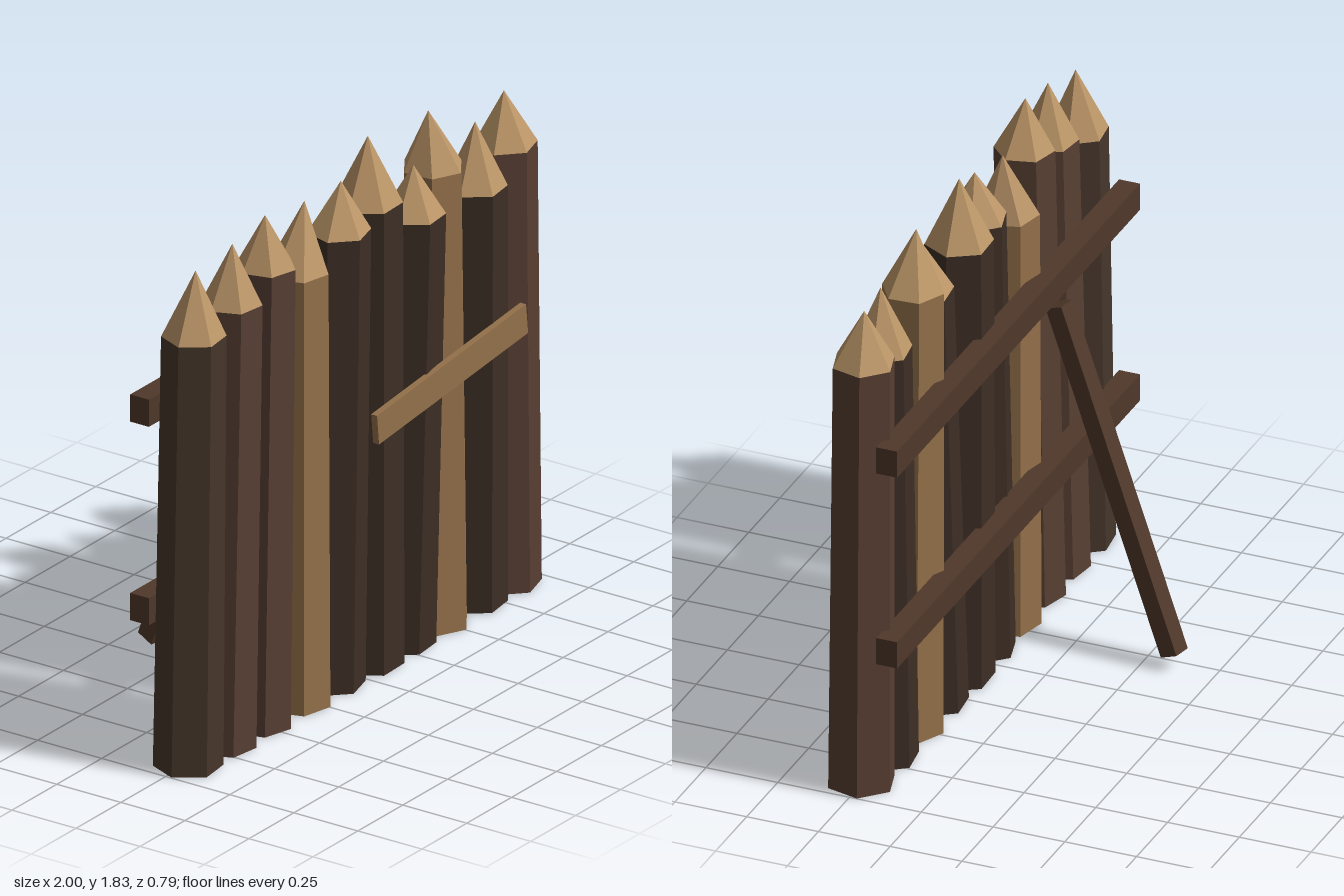
import * as THREE from 'three';

const material = (color) => new THREE.MeshStandardMaterial({ color, flatShading: true });

const DARK = 0x46362b, DEEP = 0x3d2e25, RED = 0x583f33, PALE = 0x94714a;
const TIP = 0xbc9668, RAIL = 0x4f382a;

// One row per log: bottom x, top x, top z, shoulder y, tip x, tip y, top radius, turn in degrees, colour
const LOGS = [
  [-0.885, -0.865, 0.265, 1.495, -0.855, 1.72, 0.105, 7, DARK],
  [-0.688, -0.68, 0.285, 1.55, -0.679, 1.755, 0.1, -8, RED],
  [-0.49, -0.49, 0.285, 1.61, -0.497, 1.79, 0.1, -15, RED],
  [-0.28, -0.26, 0.245, 1.5, -0.22, 1.73, 0.105, -13, PALE],
  [-0.09, -0.064, 0.27, 1.575, -0.053, 1.745, 0.105, 15, DEEP],
  [0.11, 0.14, 0.24, 1.595, 0.14, 1.825, 0.113, 2, DEEP],
  [0.3, 0.322, 0.29, 1.5, 0.322, 1.67, 0.105, 6, DEEP],
  [0.495, 0.487, 0.25, 1.595, 0.462, 1.8, 0.105, -26, PALE],
  [0.7, 0.68, 0.28, 1.465, 0.68, 1.69, 0.105, 8, DEEP],
  [0.888, 0.893, 0.247, 1.53, 0.888, 1.715, 0.107, 16, RED],
];
const BOTTOM_Z = 0.257;

// Six-sided section whose two end rings are centred on the points a (below) and b (above)
function hexSection(a, b, bottomRadius, topRadius, turn, openEnded) {
  const geometry = new THREE.CylinderGeometry(topRadius, bottomRadius, 1, 6, 1, openEnded,
    THREE.MathUtils.degToRad(turn + 30));
  const p = geometry.attributes.position;
  for (let i = 0; i < p.count; i++) {
    const end = p.getY(i) > 0 ? b : a;
    p.setXYZ(i, p.getX(i) + end[0], end[1], p.getZ(i) + end[2]);
  }
  geometry.computeVertexNormals();
  return geometry;
}

function box(name, size, position, color) {
  const mesh = new THREE.Mesh(new THREE.BoxGeometry(...size), material(color));
  mesh.name = name;
  mesh.position.set(...position);
  return mesh;
}

export function createModel() {
  const model = new THREE.Group();
  model.name = 'palisadeWall';

  // Sharpened logs
  LOGS.forEach(([bottomX, topX, topZ, shoulderY, tipX, tipY, radius, turn, color], i) => {
    const log = new THREE.Group();
    log.name = `log${i + 1}`;
    const base = [bottomX, 0, BOTTOM_Z];
    const shoulder = [topX, shoulderY, topZ];
    const trunk = new THREE.Mesh(
      hexSection(base, shoulder, radius + 0.008, radius, turn, false), material(color));
    trunk.name = 'trunk';
    const tip = new THREE.Mesh(
      hexSection(shoulder, [tipX, tipY, topZ], radius, 0, turn, true), material(TIP));
    tip.name = 'sharpenedTip';
    log.add(trunk, tip);
    model.add(log);
  });

  // Horizontal rails across the back
  model.add(box('upperRail', [1.955, 0.095, 0.073], [0.007, 1.237, 0.127], RAIL));
  model.add(box('lowerRail', [1.955, 0.095, 0.073], [0.007, 0.543, 0.127], RAIL));

  // Leaning brace behind the wall
  const foot = new THREE.Vector3(-0.21, 0.053, -0.358);
  const head = new THREE.Vector3(-0.295, 1.186, 0.08);
  const along = head.clone().sub(foot);
  const middle = head.clone().add(foot).multiplyScalar(0.5);
  const brace = box('brace', [0.065, along.length(), 0.065], middle.toArray(), RAIL);
  brace.rotation.set(Math.atan2(Math.hypot(along.x, along.z), along.y),
    Math.atan2(along.x, along.z), 0, 'YXZ');
  model.add(brace);

  // Patch plank nailed on the front
  const plank = box('patchPlank', [0.835, 0.105, 0.023], [0.393, 0.938, 0.382], PALE);
  plank.rotation.z = 0.108;
  model.add(plank);

  return model;
}
